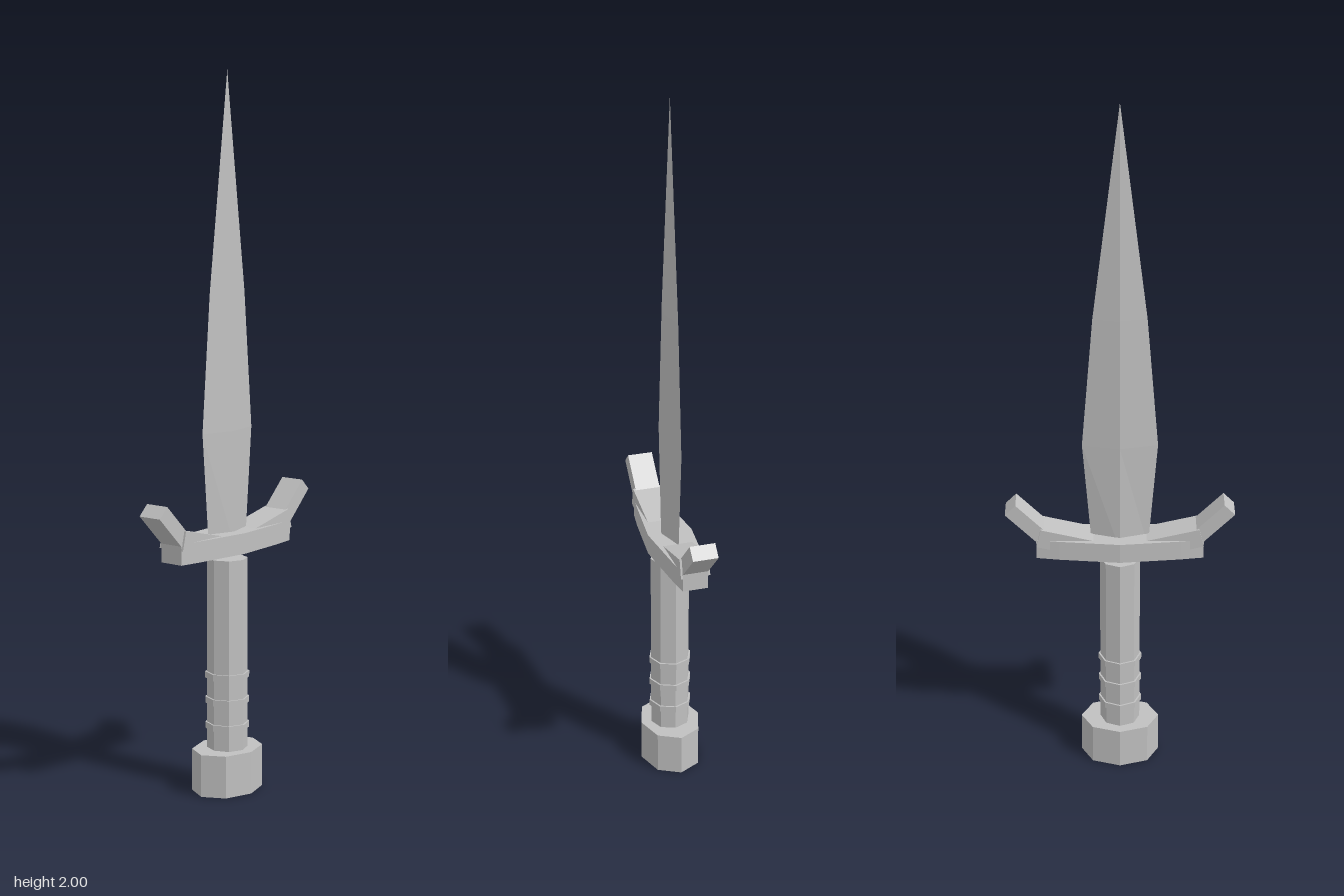
import * as THREE from 'three';

export function createModel() {
  const model = new THREE.Group();
  const steel = new THREE.MeshStandardMaterial({ color: 0xc0c0c0, flatShading: true });
  steel.name = 'steel grey';

  function add(name, geometry, y = 0) {
    const mesh = new THREE.Mesh(geometry, steel);
    mesh.name = name;
    mesh.position.y = y;
    model.add(mesh);
    return mesh;
  }

  // Front-facing outline extruded evenly about z = 0
  function slab(points, halfDepth) {
    const shape = new THREE.Shape(points.map(([x, y]) => new THREE.Vector2(x, y)));
    const g = new THREE.ExtrudeGeometry(shape, { depth: 2 * halfDepth, bevelEnabled: false });
    return g.translate(0, 0, -halfDepth);
  }

  // Octagonal pommel, flattened front to back
  add('pommel', new THREE.CylinderGeometry(0.113, 0.113, 0.12, 8).scale(1, 1, 0.775), 0.06);

  // Octagonal grip with three raised rings
  add('grip', new THREE.CylinderGeometry(0.057, 0.057, 0.545, 8), 0.39);
  for (const y of [0.185, 0.258, 0.33]) {
    add('gripRing', new THREE.CylinderGeometry(0.062, 0.062, 0.018, 8), y);
  }

  // Guard plate: long diamond-like outline lying flat
  const half = [[0.235, 0.036], [0.17, 0.046], [0, 0.064], [-0.17, 0.046], [-0.235, 0.036]];
  const outline = [...half, ...half.map(([x, z]) => [-x, -z])];
  const plate = slab(outline, 0.029).rotateX(-Math.PI / 2);
  add('guardPlate', plate, 0.71);

  // Tilted arms and upswept horns, mirrored
  for (const side of [1, -1]) {
    const flip = (pts) => pts.map(([x, y]) => [x * side, y]);
    add('guardArm', slab(flip([[0.07, 0.738], [0.222, 0.774], [0.235, 0.72], [0.085, 0.685]]), 0.042));
    add('guardHorn', slab(flip([[0.2, 0.758], [0.291, 0.849], [0.321, 0.819], [0.23, 0.728]]), 0.036));
  }

  // Leaf-shaped blade with a diamond section: [height, half width, half thickness]
  const sections = [[0.7, 0.079, 0.025], [1.02, 0.105, 0.024], [1.4, 0.074, 0.017], [2, 0, 0]];
  const rings = sections.map(([y, w, t]) => [[w, y, 0], [0, y, t], [-w, y, 0], [0, y, -t]]);
  const pos = [];
  for (let i = 0; i < rings.length - 1; i++) {
    for (let j = 0; j < 4; j++) {
      const k = (j + 1) % 4;
      const a = rings[i][j], b = rings[i][k], c = rings[i + 1][k], d = rings[i + 1][j];
      pos.push(...a, ...c, ...b);
      if (i < rings.length - 2) pos.push(...a, ...d, ...c);
    }
  }
  const [e, f, g, h] = rings[0];
  pos.push(...e, ...f, ...g, ...e, ...g, ...h);
  const blade = new THREE.BufferGeometry();
  blade.setAttribute('position', new THREE.Float32BufferAttribute(pos, 3));
  blade.computeVertexNormals();
  add('blade', blade);

  return model;
}
